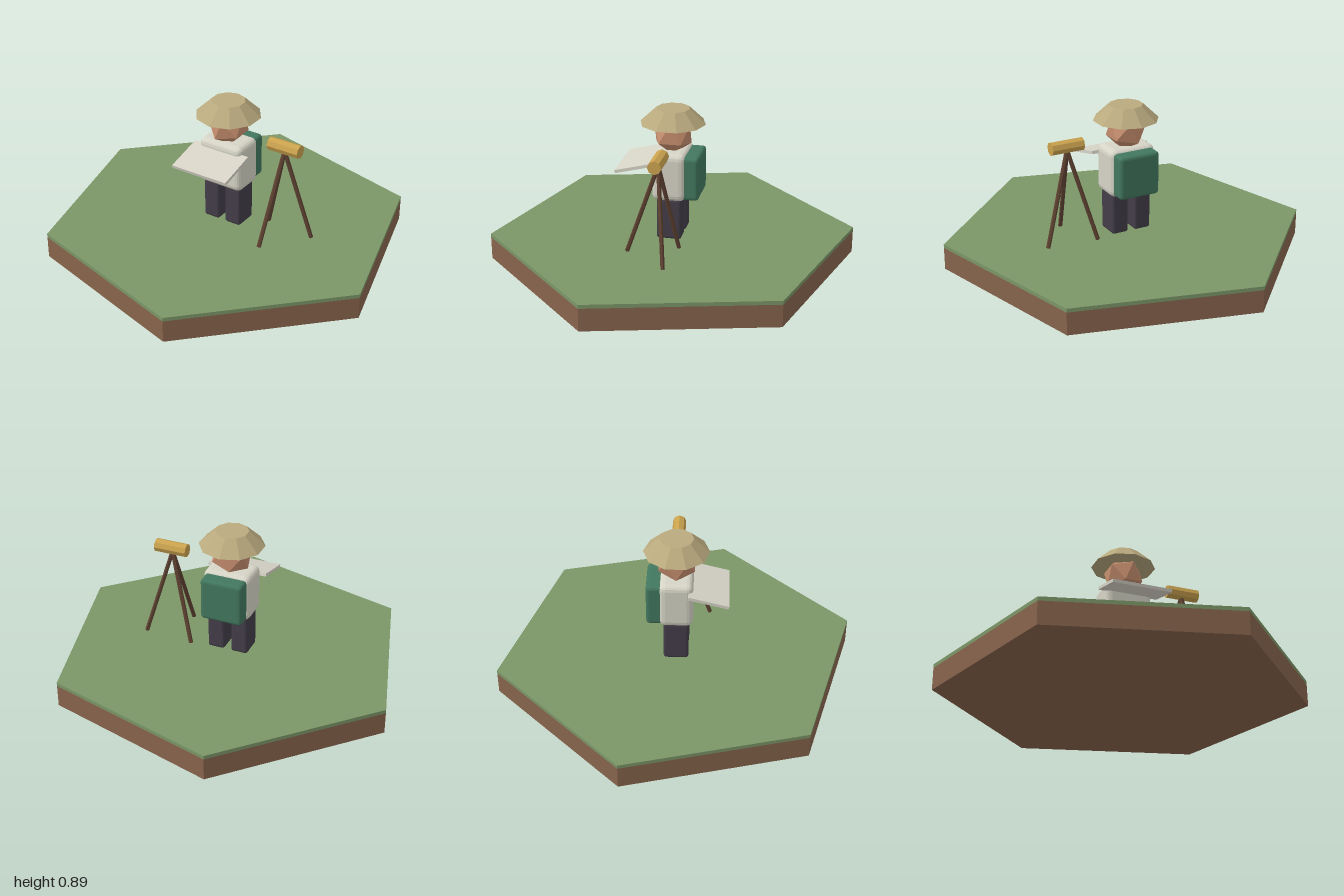
import * as THREE from 'three';
import { RoundedBoxGeometry } from 'three/addons/geometries/RoundedBoxGeometry.js';

const COLOURS = {
  soil: 0x87644c, grass: 0x7b9667, trousers: 0x433d48, shirt: 0xd6d4c6, paper: 0xd6d3c6,
  skin: 0xc68e6e, straw: 0xb9a97e, canvas: 0x42775f, wood: 0x5f4232, brass: 0xcaa24e,
};

export function createModel() {
  const model = new THREE.Group();
  model.name = 'surveyorScene';
  const materials = {};
  for (const [name, color] of Object.entries(COLOURS)) {
    materials[name] = new THREE.MeshStandardMaterial({ color });
    materials[name].name = name;
  }

  // Adds a faceted part to a group
  function add(parent, name, geometry, material, x, y, z) {
    const faceted = geometry.index ? geometry.toNonIndexed() : geometry;
    faceted.computeVertexNormals();
    const mesh = new THREE.Mesh(faceted, materials[material]);
    mesh.name = name;
    mesh.position.set(x, y, z);
    parent.add(mesh);
    return mesh;
  }
  const group = (name) => {
    const g = new THREE.Group();
    g.name = name;
    model.add(g);
    return g;
  };
  const softBox = (w, h, d, r) => new RoundedBoxGeometry(w, h, d, 2, r);

  // Hexagonal ground: soil with a thin layer of grass
  const ground = group('ground');
  ground.rotation.y = Math.PI / 12;
  const hexagon = (h) => new THREE.CylinderGeometry(1.035, 1.035, h, 6);
  add(ground, 'soilBase', hexagon(0.128), 'soil', 0, 0.064, 0);
  add(ground, 'grassTop', hexagon(0.022), 'grass', 0, 0.139, 0);

  // Standing figure
  const figure = group('figure');
  for (const [side, name] of [[-1, 'rightLeg'], [1, 'leftLeg']]) {
    add(figure, name, softBox(0.1, 0.24, 0.14, 0.015), 'trousers', side * 0.07, 0.27, 0);
  }
  add(figure, 'torso', softBox(0.275, 0.275, 0.19, 0.035), 'shirt', 0, 0.518, 0);
  add(figure, 'backpack', softBox(0.245, 0.25, 0.1, 0.02), 'canvas', 0, 0.515, -0.117);
  const head = add(figure, 'head', new THREE.IcosahedronGeometry(0.118, 0), 'skin', 0, 0.74, 0);
  head.rotation.z = -0.38;
  add(figure, 'hat', new THREE.CylinderGeometry(0.095, 0.184, 0.085, 10), 'straw', 0, 0.843, 0);

  // Map held out in front, sloping away
  const map = add(figure, 'map', new THREE.BoxGeometry(0.35, 0.018, 0.23), 'paper', 0, 0.58, 0.18);
  map.rotation.x = 0.25;

  // Tripod with a brass telescope
  const tripod = group('tripod');
  const apex = new THREE.Vector3(0.363, 0.68, 0);
  const up = new THREE.Vector3(0, 1, 0);
  for (const [x, z] of [[0.222, -0.082], [0.515, -0.057], [0.325, 0.187]]) {
    const foot = new THREE.Vector3(x, 0.152, z);
    const mid = foot.clone().add(apex).multiplyScalar(0.5);
    const direction = apex.clone().sub(foot);
    const leg = add(tripod, 'tripodLeg',
      new THREE.CylinderGeometry(0.012, 0.012, direction.length(), 6), 'wood', mid.x, mid.y, mid.z);
    leg.quaternion.setFromUnitVectors(up, direction.normalize());
  }
  const scope = add(tripod, 'telescope',
    new THREE.CylinderGeometry(0.038, 0.038, 0.19, 8), 'brass', 0.366, 0.702, 0);
  scope.rotation.z = Math.PI / 2;

  return model;
}
